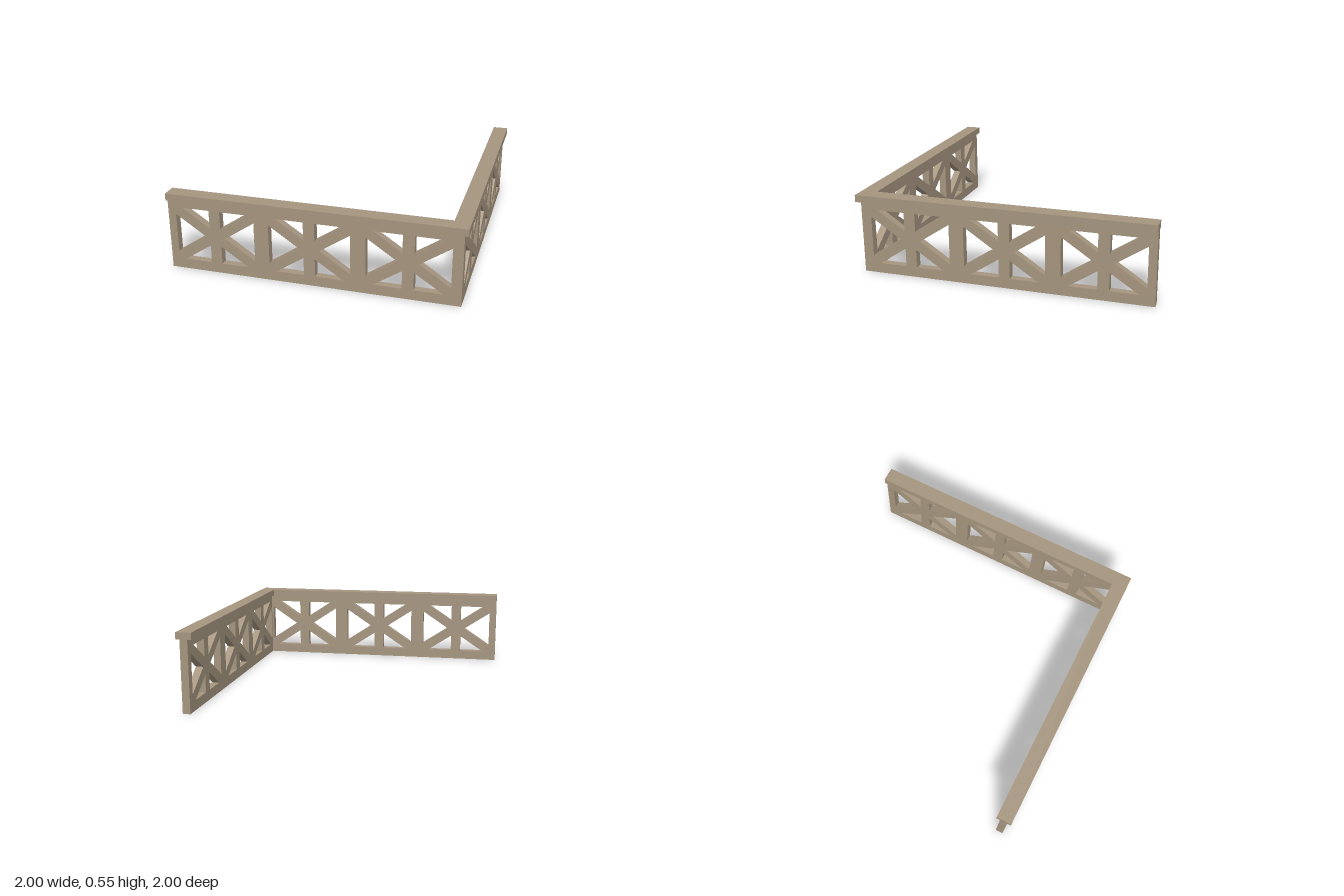
import * as THREE from 'three';

const PANEL_TOP = 0.497, CAP_TOP = 0.545;
const OUTER = 0.973, INNER = 0.92;           // faces of the lattice panels
const BAYS = [-0.671, -0.02, 0.63];          // bay centres along each panel
const MID = 0.257;                           // height of the brace crossing

// Triangular openings left around the post and crossed braces of one bay
function bayHoles(cx) {
  const holes = [];
  const add = pts => holes.push(new THREE.Path(pts.map(([x, y]) => new THREE.Vector2(cx + x, MID + y))));
  for (const s of [-1, 1]) {
    add([[s * 0.275, 0.137], [s * 0.275, -0.137], [s * 0.069, 0]]);
    for (const t of [-1, 1]) {
      add([[s * 0.227, t * 0.188], [s * 0.038, t * 0.188], [s * 0.038, t * 0.063]]);
    }
  }
  return holes;
}

// Flat lattice panel running from x = -1 to x = end
function panelGeometry(end) {
  const shape = new THREE.Shape([[-1, 0], [end, 0], [end, PANEL_TOP], [-1, PANEL_TOP]]
    .map(([x, y]) => new THREE.Vector2(x, y)));
  shape.holes = BAYS.flatMap(bayHoles);
  return new THREE.ExtrudeGeometry(shape, { depth: OUTER - INNER, bevelEnabled: false });
}

export function createModel() {
  const group = new THREE.Group();
  const wood = new THREE.MeshStandardMaterial({ color: 0xa5957f });
  wood.name = 'weathered wood';
  const add = (name, geometry) => {
    const mesh = new THREE.Mesh(geometry, wood);
    mesh.name = name;
    group.add(mesh);
  };

  // Lattice panels meeting at the front corner
  add('frontPanel', panelGeometry(OUTER).translate(0, 0, INNER));
  add('sidePanel', panelGeometry(INNER).translate(0, 0, -OUTER).rotateY(-Math.PI / 2));

  // L-shaped handrail overhanging both panels
  const rail = new THREE.Shape([[-1, -1], [1, -1], [1, 1], [0.893, 1], [0.893, -0.893], [-1, -0.893]]
    .map(([x, y]) => new THREE.Vector2(x, y)));
  add('handrail', new THREE.ExtrudeGeometry(rail, { depth: CAP_TOP - PANEL_TOP, bevelEnabled: false })
    .rotateX(-Math.PI / 2).translate(0, PANEL_TOP, 0));

  return group;
}
